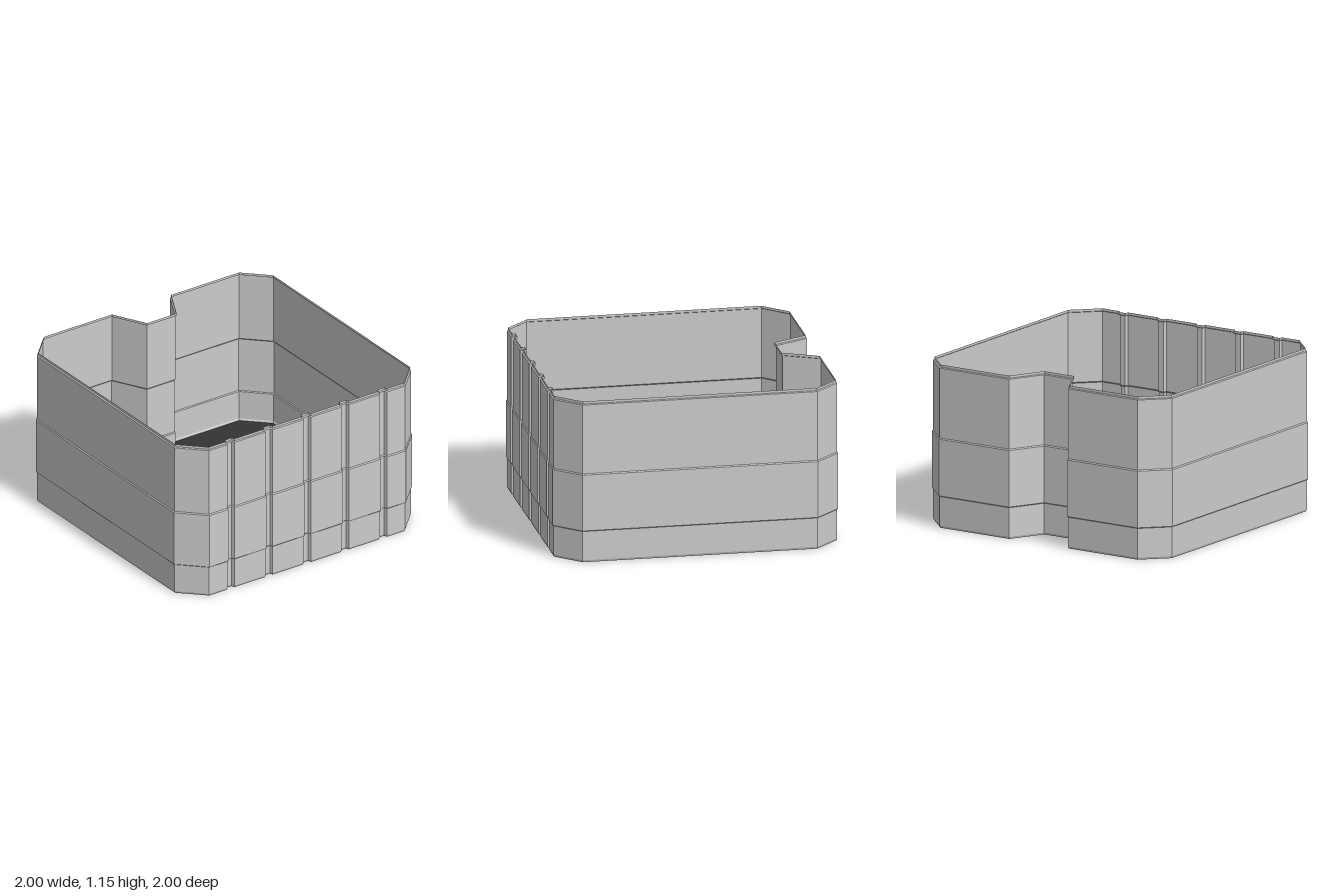
import * as THREE from 'three';

// Plan outline (x, z), running from the front, around the +x side, to the back
function outline() {
  const pts = [[-0.825, 1]];
  // five narrow vertical grooves across the front
  for (let i = -2; i <= 2; i++) {
    const c = i * 0.32;
    pts.push([c - 0.026, 1], [c - 0.018, 0.977], [c + 0.018, 0.977], [c + 0.026, 1]);
  }
  pts.push([0.825, 1], [1, 0.825], [1, -0.825], [0.825, -1]);
  // tapered notch in the back
  pts.push([0.24, -1], [0.115, -0.757], [-0.115, -0.757], [-0.24, -1]);
  pts.push([-0.825, -1], [-1, -0.825], [-1, 0.825]);
  return pts.map(([x, z]) => new THREE.Vector2(x, z));
}

// Mitred inset of the closed outline by distance d
function inset(pts, d) {
  const n = pts.length;
  const normal = (a, b) => new THREE.Vector2(b.y - a.y, a.x - b.x).normalize();
  return pts.map((p, i) => {
    const n0 = normal(pts[(i + n - 1) % n], p);
    const n1 = normal(p, pts[(i + 1) % n]);
    const k = d / (1 + n0.dot(n1));
    return p.clone().addScaledVector(n0.add(n1), k);
  });
}

function loft(pts, profile) {
  const rings = profile.map(([d]) => inset(pts, d));
  const pos = [];
  const n = pts.length;
  for (let j = 0; j < profile.length - 1; j++) {
    for (let i = 0; i < n; i++) {
      const k = (i + 1) % n;
      const v = (r, s) => [rings[r][s].x, profile[r][1], rings[r][s].y];
      const a = v(j, i), b = v(j, k), c = v(j + 1, k), e = v(j + 1, i);
      pos.push(...a, ...b, ...c, ...a, ...c, ...e);
    }
  }
  const geo = new THREE.BufferGeometry();
  geo.setAttribute('position', new THREE.Float32BufferAttribute(pos, 3));
  geo.computeVertexNormals();
  return geo;
}

export function createModel() {
  const group = new THREE.Group();
  const pts = outline();

  // Thin wall: bottom bevel, raised middle band, inset rim (inset, height)
  const profile = [
    [0.012, 0], [0.006, 0.015], [0.006, 0.222], [0, 0.228],
    [0, 0.628], [0.006, 0.636], [0.006, 1.13], [0.015, 1.135], [0.015, 1.153],
  ];
  const wall = new THREE.Mesh(
    loft(pts, profile),
    new THREE.MeshStandardMaterial({ color: 0xcccccc, flatShading: true, side: THREE.DoubleSide })
  );
  wall.name = 'wall';
  group.add(wall);

  // Dark floor closing the bottom
  const shape = new THREE.Shape(inset(pts, 0.012).map((p) => new THREE.Vector2(p.x, -p.y)));
  const floor = new THREE.Mesh(
    new THREE.ShapeGeometry(shape).rotateX(-Math.PI / 2),
    new THREE.MeshStandardMaterial({ color: 0x333333, side: THREE.DoubleSide })
  );
  floor.name = 'floor';
  group.add(floor);

  return group;
}
